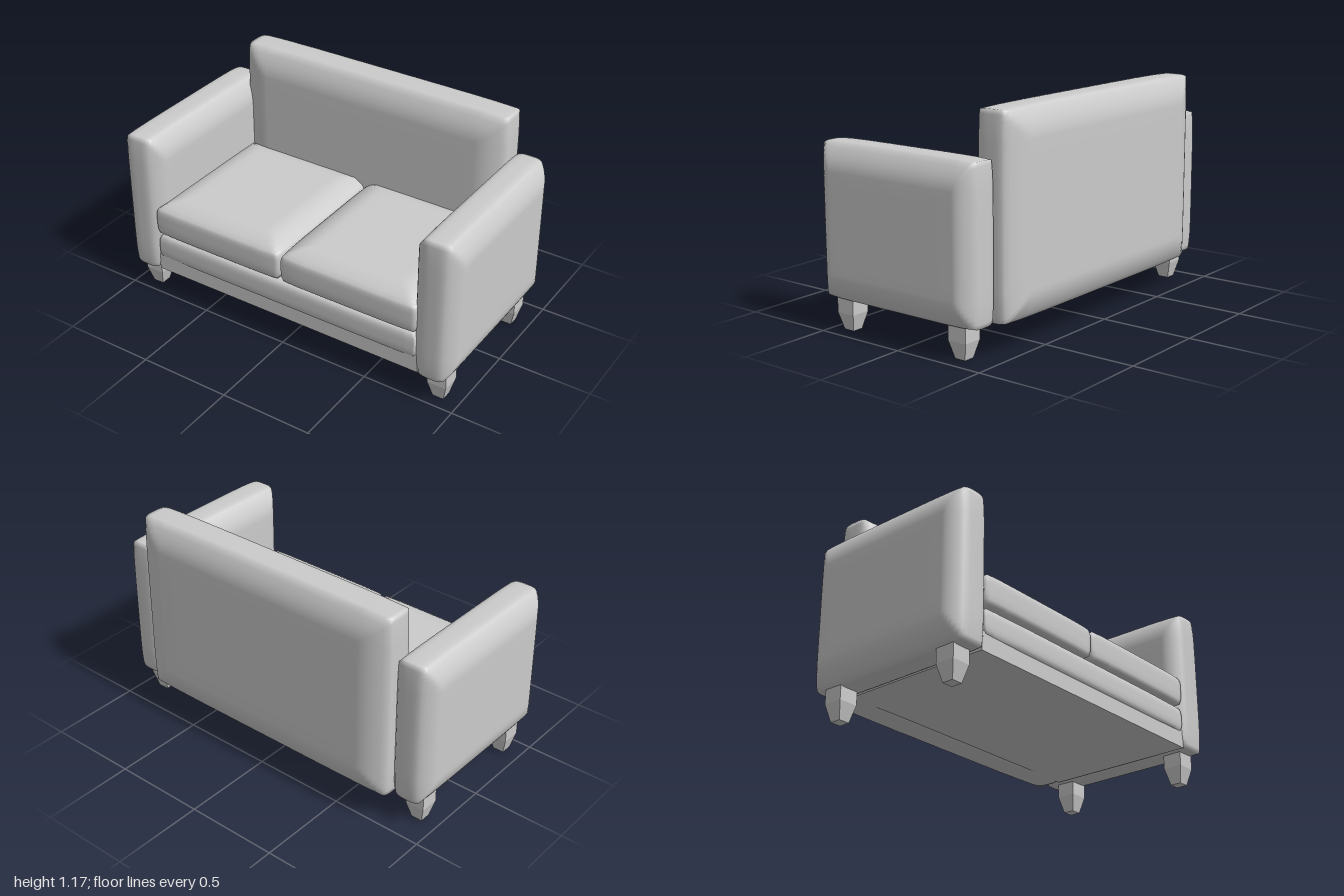
import * as THREE from 'three';
import { mergeVertices } from 'three/addons/utils/BufferGeometryUtils.js';

const grey = new THREE.MeshStandardMaterial({ color: 0xcccccc });
const greyFlat = new THREE.MeshStandardMaterial({ color: 0xcccccc, flatShading: true });

// Padded slab: u by v outline, thickness t along z, thinning towards its rim.
// mu, mv: width of the rounded margin; front, back: share of thickness left at the rim.
function paddedSlab(u, v, t, mu, mv, front, back = front) {
  const geo = new THREE.BoxGeometry(2, 2, 2, 20, 20, 8);
  geo.deleteAttribute('normal');
  geo.deleteAttribute('uv');
  const p = geo.attributes.position;
  // Pack more rows of vertices into the margin
  const spread = (a, half, m) => {
    const s = Math.abs(a), inner = half - m;
    return Math.sign(a) * (s < 0.4 ? (s / 0.4) * inner : inner + ((s - 0.4) / 0.6) * m);
  };
  for (let i = 0; i < p.count; i++) {
    const c = p.getZ(i);
    const x = spread(p.getX(i), u / 2, mu);
    const y = spread(p.getY(i), v / 2, mv);
    const near = Math.min(1, (u / 2 - Math.abs(x)) / mu, (v / 2 - Math.abs(y)) / mv);
    const rim = c > 0 ? front : back;
    const fill = rim + (1 - rim) * (1 - (1 - near) ** 2);
    const a = 2 * x / u, b = 2 * y / v;
    // Slight bow of the outline and rounding across the rim
    p.setXYZ(i,
      x - Math.sign(x) * 0.009 * a * a * (b ** 6 + c ** 4),
      y - Math.sign(y) * 0.007 * b * b * (a ** 6 + c ** 4),
      c * t / 2 * fill);
  }
  const merged = mergeVertices(geo, 1e-5);
  merged.computeVertexNormals();
  return merged;
}

export function createModel() {
  const group = new THREE.Group();
  const add = (name, geo, x, y, z, mat = grey) => {
    const mesh = new THREE.Mesh(geo, mat);
    mesh.name = name;
    mesh.position.set(x, y, z);
    group.add(mesh);
  };

  // Backrest
  add('backrest', paddedSlab(1.59, 1.02, 0.25, 0.15, 0.15, 0.6), 0, 0.665, -0.405);

  // Seat base: underside board and padded front rail
  add('seatBoard', new THREE.BoxGeometry(1.6, 0.1, 0.84), 0, 0.213, 0.08);
  add('seatBase', paddedSlab(1.59, 0.86, 0.165, 0.06, 0.06, 0.75).rotateX(-Math.PI / 2), 0, 0.315, 0.085);

  for (const [side, s] of [['left', 1], ['right', -1]]) {
    // Seat cushion, flat below and domed at the top edge
    add(side + 'Cushion',
      paddedSlab(0.795, 0.86, 0.21, 0.14, 0.13, 0.53, 0.88).rotateX(-Math.PI / 2),
      s * 0.3975, 0.495, 0.09);

    // Armrest
    add(side + 'Armrest',
      paddedSlab(0.965, 0.795, 0.245, 0.09, 0.14, 0.56).rotateY(Math.PI / 2),
      s * 0.8775, 0.557, 0.041);

    // Square tapered legs
    for (const [end, z] of [['Front', 0.403], ['Back', -0.317]]) {
      const k = Math.SQRT1_2;
      const profile = [[0, 0], [0.06, 0], [0.105, 0.09], [0.105, 0.18], [0, 0.18]]
        .map(([w, y]) => new THREE.Vector2(w * k, y));
      add(side + end + 'Leg', new THREE.LatheGeometry(profile, 4, Math.PI / 4),
        s * 0.886, 0, z, greyFlat);
    }
  }
  return group;
}
